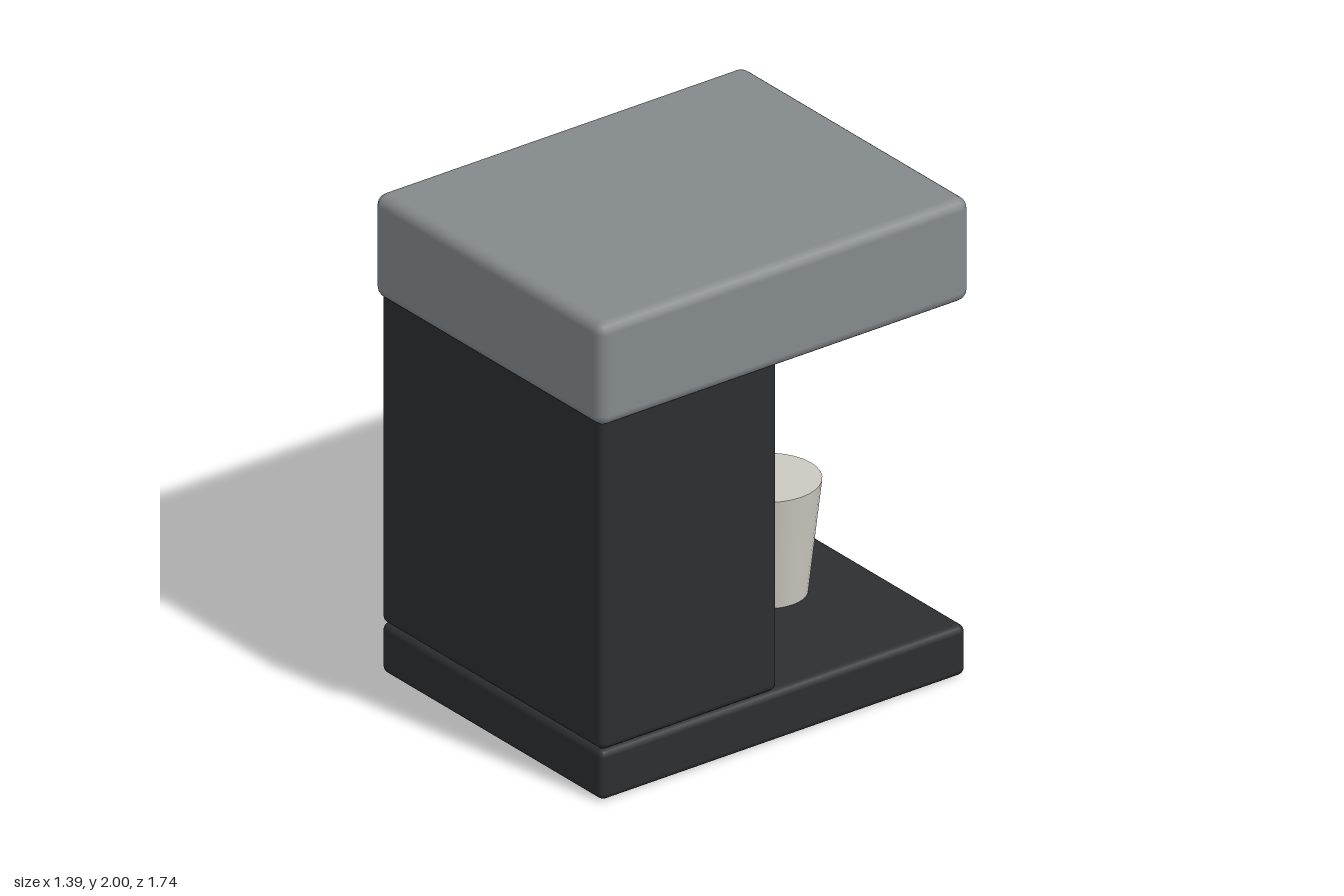
import * as THREE from 'three';
import { RoundedBoxGeometry } from 'three/addons/geometries/RoundedBoxGeometry.js';

const dark = new THREE.MeshStandardMaterial({ color: 0x2d2e30 });
const grey = new THREE.MeshStandardMaterial({ color: 0x84898c });
const cream = new THREE.MeshStandardMaterial({ color: 0xcbc9c0 });

// Rounded block given by its limits on each axis
function block(name, material, [x0, x1], [y0, y1], [z0, z1], radius) {
  const geometry = new RoundedBoxGeometry(x1 - x0, y1 - y0, z1 - z0, 2, radius);
  const mesh = new THREE.Mesh(geometry, material);
  mesh.position.set((x0 + x1) / 2, (y0 + y1) / 2, (z0 + z1) / 2);
  mesh.name = name;
  return mesh;
}

export function createModel() {
  const model = new THREE.Group();
  model.name = 'coffeeMachine';

  // Flat base, upright body and overhanging head
  model.add(
    block('base', dark, [-0.675, 0.675], [0, 0.21], [-0.865, 0.85], 0.03),
    block('body', dark, [-0.675, 0.675], [0.21, 1.61], [0.02, 0.85], 0.03),
    block('head', grey, [-0.695, 0.695], [1.57, 2], [-0.87, 0.87], 0.045),
    block('spout', grey, [-0.2, 0.2], [1.31, 1.57], [-0.71, -0.35], 0.03),
  );

  // Tapered cup standing under the spout
  const cup = new THREE.Mesh(new THREE.CylinderGeometry(0.203, 0.15, 0.475, 32), cream);
  cup.position.set(0, 0.4425, -0.45);
  cup.name = 'cup';
  model.add(cup);

  return model;
}
